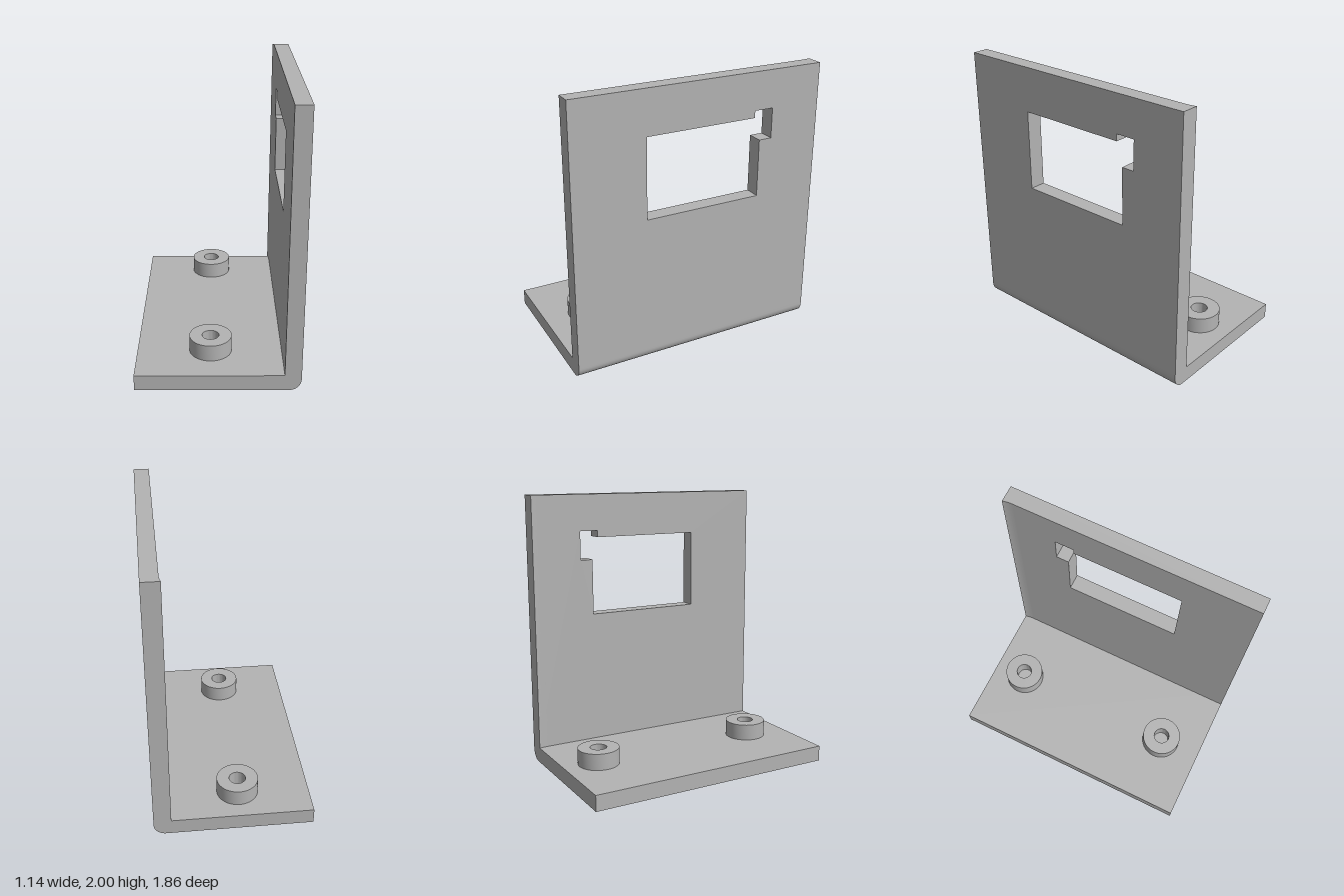
import * as THREE from 'three';
import { toCreasedNormals } from 'three/addons/utils/BufferGeometryUtils.js';

const W = 0.57;      // half width in x
const D = 0.93;      // half depth in z
const T = 0.115;     // plate thickness
const R = 0.085;     // outer bend radius
const INNER = W - T; // inner face of the wall

const outline = (points) => points.map(([x, y]) => new THREE.Vector2(x, y));

export function createModel() {
  const model = new THREE.Group();
  model.name = 'angleBracket';
  const grey = new THREE.MeshStandardMaterial({ color: 0xb3b3b3 });
  grey.name = 'plain grey';

  const add = (name, geometry) => {
    const mesh = new THREE.Mesh(toCreasedNormals(geometry, 0.5), grey);
    mesh.name = name;
    model.add(mesh);
    return mesh;
  };
  const extrude = (shape, depth) =>
    new THREE.ExtrudeGeometry(shape, { depth, bevelEnabled: false, curveSegments: 12 });

  // Foot plate with the rounded outer bend, extruded along z
  const foot = new THREE.Shape();
  foot.moveTo(-W, 0);
  foot.lineTo(W - R, 0);
  foot.absarc(W - R, R, R, -Math.PI / 2, 0, false);
  foot.lineTo(W, T);
  foot.lineTo(-W, T);
  foot.closePath();
  add('footPlate', extrude(foot, 2 * D).translate(0, 0, -D));

  // Upright wall drawn in (-z, y), with its notched window
  const wall = new THREE.Shape(outline([[-D, T], [D, T], [D, 2], [-D, 2]]));
  wall.holes.push(new THREE.Path(outline([
    [-0.4, 1.1], [-0.4, 1.68], [0.415, 1.68], [0.415, 1.73],
    [0.555, 1.73], [0.555, 1.515], [0.46, 1.515], [0.46, 1.1],
  ])));
  add('uprightWall', extrude(wall, T).rotateY(Math.PI / 2).translate(INNER, 0, 0));

  // Slight flare along the rear inner edge of the wall, drawn in (x, -z)
  const flare = new THREE.Shape();
  flare.moveTo(INNER, D);
  flare.lineTo(INNER - 0.01, D);
  flare.quadraticCurveTo(INNER - 0.001, D - 0.03, INNER, D - 0.07);
  flare.closePath();
  add('rearFlare', extrude(flare, 2 - T).rotateX(-Math.PI / 2).translate(0, T, 0));

  // Two hollow bosses standing on the foot
  const bossProfile = outline([[0.15, 0], [0.15, 0.12], [0.06, 0.12], [0.06, 0]]);
  for (const [name, z] of [['rearBoss', -0.67], ['frontBoss', 0.6]]) {
    add(name, new THREE.LatheGeometry(bossProfile, 48)).position.set(-0.05, T, z);
  }
  return model;
}
